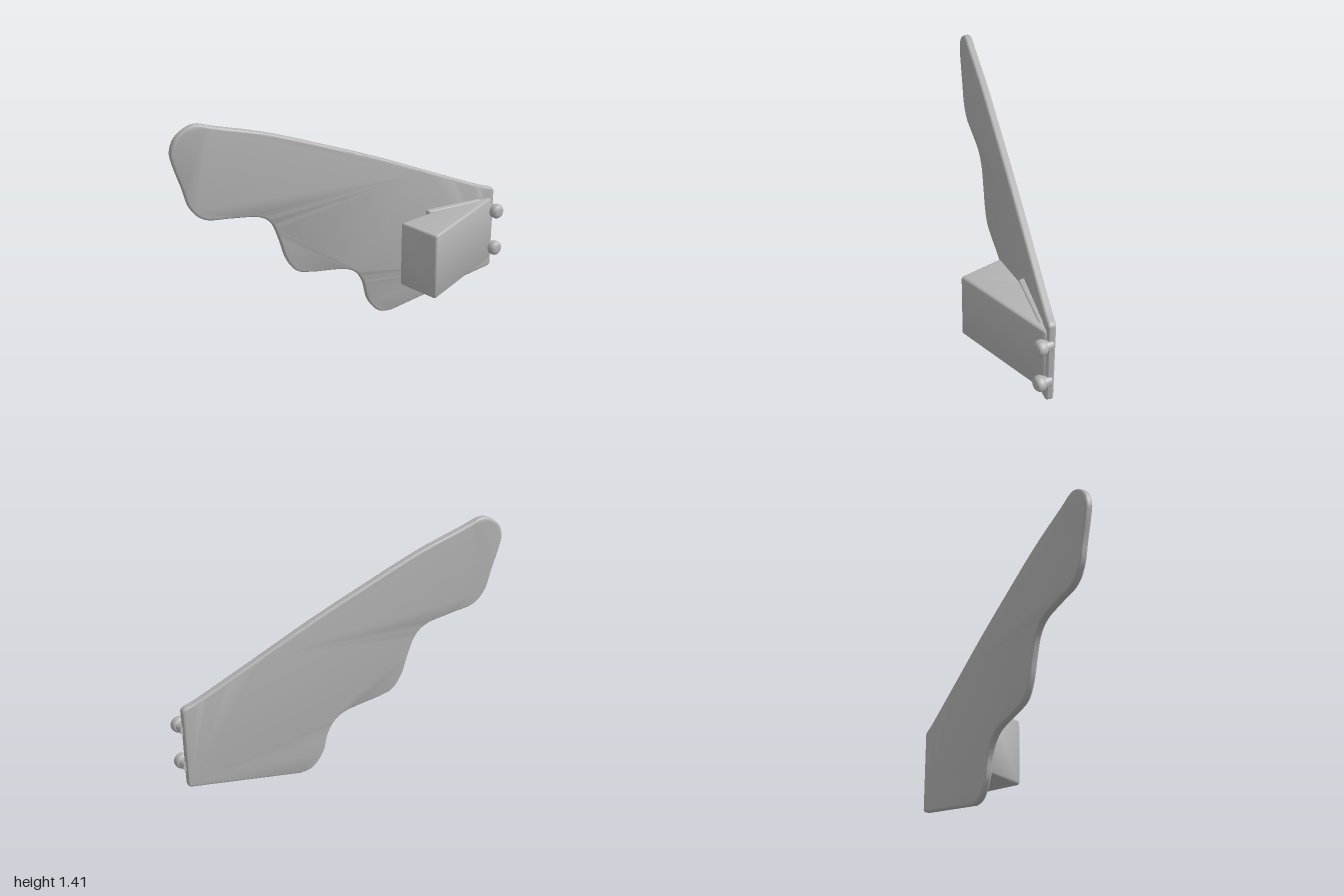
import * as THREE from 'three';
import { toCreasedNormals } from 'three/addons/utils/BufferGeometryUtils.js';

const WING_ANGLE = 0.232; // yaw of the wing away from the z axis

// Extrude with rounded rims that stay inside the drawn outline, centred on its depth
function roundedExtrude(shape, depth, bevel) {
  const geo = new THREE.ExtrudeGeometry(shape, {
    depth: depth - 2 * bevel, curveSegments: 8, bevelEnabled: true, bevelThickness: bevel,
    bevelSize: bevel, bevelOffset: -bevel, bevelSegments: 4,
  });
  geo.translate(0, 0, -(depth - 2 * bevel) / 2);
  return toCreasedNormals(geo, 0.7);
}

// Closed polygon with softened corners
function softPolygon(points, r) {
  const p = points.map(([x, y]) => new THREE.Vector2(x, y));
  const shape = new THREE.Shape();
  p.forEach((c, i) => {
    const a = p[(i + p.length - 1) % p.length], b = p[(i + 1) % p.length];
    const s = a.clone().sub(c).setLength(r).add(c);
    const e = b.clone().sub(c).setLength(r).add(c);
    if (i === 0) shape.moveTo(s.x, s.y);
    else shape.lineTo(s.x, s.y);
    shape.quadraticCurveTo(c.x, c.y, e.x, e.y);
  });
  shape.closePath();
  return shape;
}

// Upright prism from a plan given as [x, z]
function prism(plan, y0, y1, r, bevel) {
  const geo = roundedExtrude(softPolygon(plan.map(([x, z]) => [x, -z]), r), y1 - y0, bevel);
  geo.rotateX(-Math.PI / 2);
  geo.translate(0, (y0 + y1) / 2, 0);
  return geo;
}

export function createModel() {
  const group = new THREE.Group();
  const grey = new THREE.MeshStandardMaterial({ color: 0xb4b4b4 });
  grey.name = 'grey';
  const add = (name, geo) => {
    const mesh = new THREE.Mesh(geo, grey);
    mesh.name = name;
    group.add(mesh);
    return mesh;
  };

  // Wing: scalloped lower edge, straight root, long sloping top edge ([z, y])
  const scallops = [
    [-0.287, 0.003], [-0.206, 0.02], [-0.137, 0.11], [-0.105, 0.24], [-0.05, 0.326], [0.035, 0.364],
    [0.22, 0.39], [0.314, 0.42], [0.373, 0.508], [0.41, 0.636], [0.453, 0.75], [0.53, 0.81],
    [0.68, 0.834], [0.83, 0.856], [0.91, 0.936], [0.946, 1.064], [0.985, 1.2], [0.996, 1.278],
    [0.968, 1.353], [0.903, 1.404], [0.84, 1.416], [0.743, 1.385], [0.458, 1.3], [0.14, 1.176],
    [-0.196, 1.037], [-0.534, 0.882], [-0.85, 0.738], [-0.945, 0.703],
  ];
  const k = 1 / Math.cos(WING_ANGLE);
  const outline = new THREE.Shape();
  outline.moveTo(-0.94 * k, 0.157);
  outline.lineTo(scallops[0][0] * k, scallops[0][1]);
  outline.splineThru(scallops.slice(1).map(([z, y]) => new THREE.Vector2(z * k, y)));
  outline.quadraticCurveTo(-0.969 * k, 0.695, -0.969 * k, 0.675);
  outline.lineTo(-0.969 * k, 0.18);
  outline.quadraticCurveTo(-0.969 * k, 0.163, -0.94 * k, 0.157);
  const wing = add('wing', roundedExtrude(outline, 0.046, 0.014));
  wing.rotation.y = -(Math.PI / 2 + WING_ANGLE);
  wing.position.x = -0.093;

  // Wedge block standing out from the wing near its root
  add('wedgeBlock', prism([
    [0.115, -0.945], [0.163, -0.945], [0.347, -0.322], [0.077, -0.278], [0.077, -0.53], [0.04, -0.53],
  ], 0.22, 0.638, 0.018, 0.018));

  // Mounting pad between the wedge and the wing
  add('mountingPad', prism([
    [0.035, -0.5], [0.082, -0.5], [0.155, -0.86], [0.115, -0.87],
  ], 0.211, 0.646, 0.01, 0.01));

  // Two hinge pins with rounded heads, pointing along x
  const R = 0.045, r = 0.016;
  const profile = [new THREE.Vector2(0, 0), new THREE.Vector2(0.033, 0), new THREE.Vector2(0.033, 0.04)];
  for (let i = 0; i <= 4; i++) {
    const t = -Math.PI / 2 + (i / 4) * Math.PI / 2;
    profile.push(new THREE.Vector2(R - r + r * Math.cos(t), 0.055 + r * Math.sin(t)));
  }
  for (let i = 0; i <= 5; i++) {
    const t = (i / 5) * Math.PI / 2;
    profile.push(new THREE.Vector2(R - 0.026 + 0.026 * Math.cos(t), 0.069 + 0.026 * Math.sin(t)));
  }
  profile.push(new THREE.Vector2(0, 0.095));
  const pinGeo = toCreasedNormals(new THREE.LatheGeometry(profile, 24), 0.7);
  for (const [name, y] of [['upperPin', 0.556], ['lowerPin', 0.303]]) {
    const pin = add(name, pinGeo);
    pin.rotation.z = -Math.PI / 2;
    pin.position.set(0.13, y, -0.955);
  }
  return group;
}
